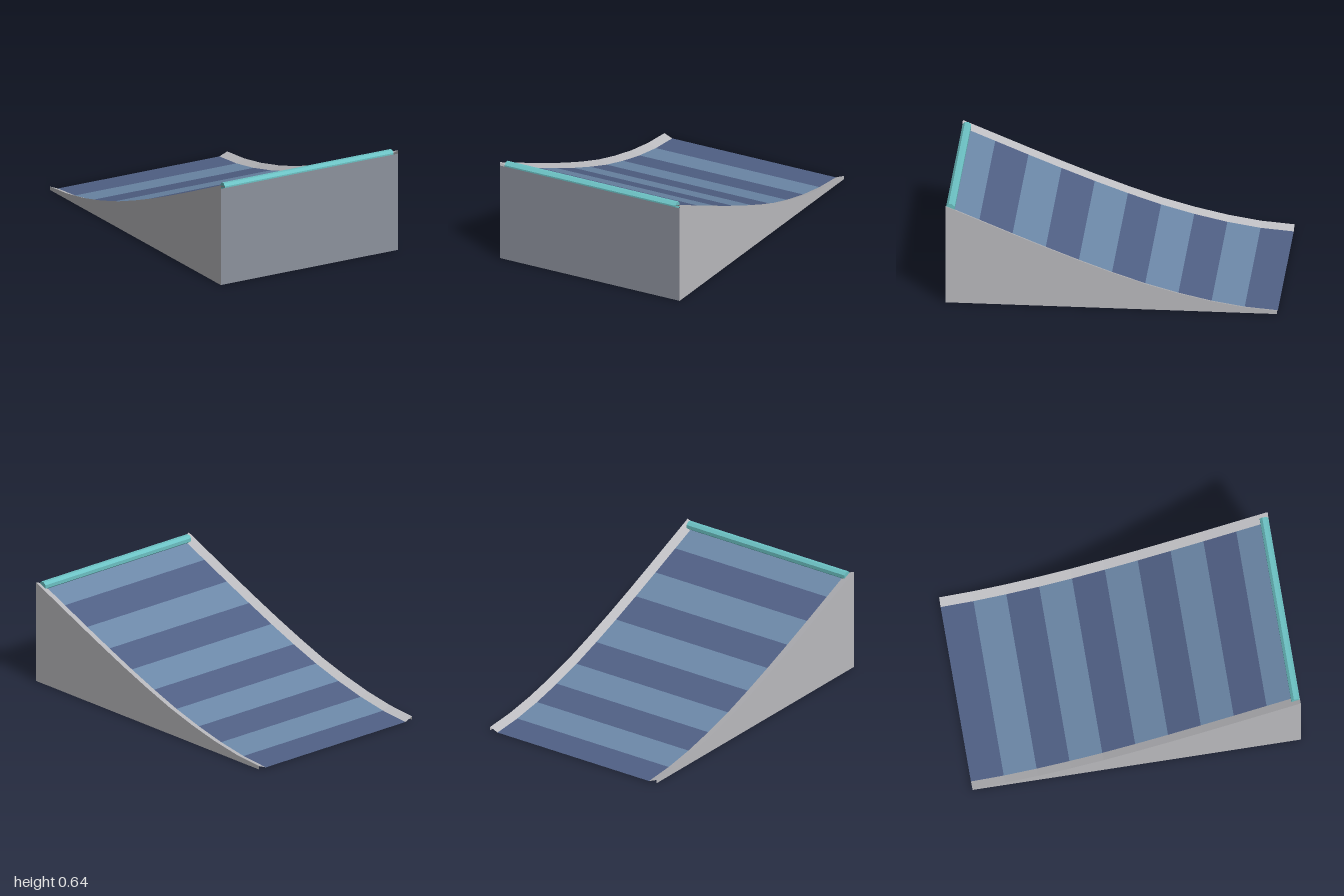
import * as THREE from 'three';

const mat = (name, color) => {
  const m = new THREE.MeshStandardMaterial({ color, side: THREE.DoubleSide, flatShading: true });
  m.name = name;
  return m;
};

// Height of the outer edge at z = -1, -0.8 ... 1
const EDGE = [0.022, 0.038, 0.07, 0.115, 0.17, 0.237, 0.31, 0.388, 0.469, 0.552, 0.635];
const LIP = 0.022, HALF = 0.62, DECK = 0.565;
const zAt = (i) => -1 + i * 0.2;

// Strip of quads between two rows of points
function sheet(rowA, rowB) {
  const pos = [], index = [];
  rowA.forEach((p, i) => {
    pos.push(...p, ...rowB[i]);
    if (i) {
      const a = 2 * i - 2;
      index.push(a, a + 2, a + 1, a + 1, a + 2, a + 3);
    }
  });
  const g = new THREE.BufferGeometry();
  g.setAttribute('position', new THREE.Float32BufferAttribute(pos, 3));
  g.setIndex(index);
  const flat = g.toNonIndexed();
  flat.computeVertexNormals();
  return flat;
}

export function createModel() {
  const model = new THREE.Group();
  model.name = 'ramp';
  const darkBlue = mat('dark blue', 0x506085);
  const lightBlue = mat('light blue', 0x6c88a8);
  const lightGrey = mat('light grey', 0xbcbcc0);
  const wallGrey = mat('wall grey', 0x8c919c);
  const teal = mat('teal', 0x6cc2c4);

  const add = (name, geometry, material) => {
    const mesh = new THREE.Mesh(geometry, material);
    mesh.name = name;
    model.add(mesh);
    return mesh;
  };

  // Curved riding surface in alternating stripes
  for (let i = 0; i < 10; i++) {
    const row = (x) => [i, i + 1].map((k) => [x, EDGE[k] - LIP, zAt(k)]);
    add('deckStripe' + (i + 1), sheet(row(-DECK), row(DECK)), i % 2 ? lightBlue : darkBlue);
  }

  // Side walls and the sloped curbs along their tops; rows ordered to face outward and up
  for (const s of [-1, 1]) {
    const top = EDGE.map((y, i) => [s * HALF, y, zAt(i)]);
    const base = EDGE.map((y, i) => [s * HALF, 0, zAt(i)]);
    const inner = EDGE.map((y, i) => [s * DECK, y - LIP, zAt(i)]);
    const side = s > 0 ? 'left' : 'right';
    add(side + 'Wall', s > 0 ? sheet(top, base) : sheet(base, top), lightGrey);
    add(side + 'Curb', s > 0 ? sheet(inner, top) : sheet(top, inner), lightGrey);
  }

  // Upright wall at the high end
  const wallTop = EDGE[10] - LIP;
  const wall = add('frontWall', new THREE.PlaneGeometry(2 * HALF, wallTop), wallGrey);
  wall.position.set(0, wallTop / 2, 1);

  // Eight-sided rail along the high edge
  const rail = new THREE.CylinderGeometry(0.028, 0.028, 1.18, 8);
  rail.rotateY(Math.PI / 8);
  rail.rotateZ(Math.PI / 2);
  add('copingRail', rail, teal).position.set(0, 0.611, 0.973);

  return model;
}
